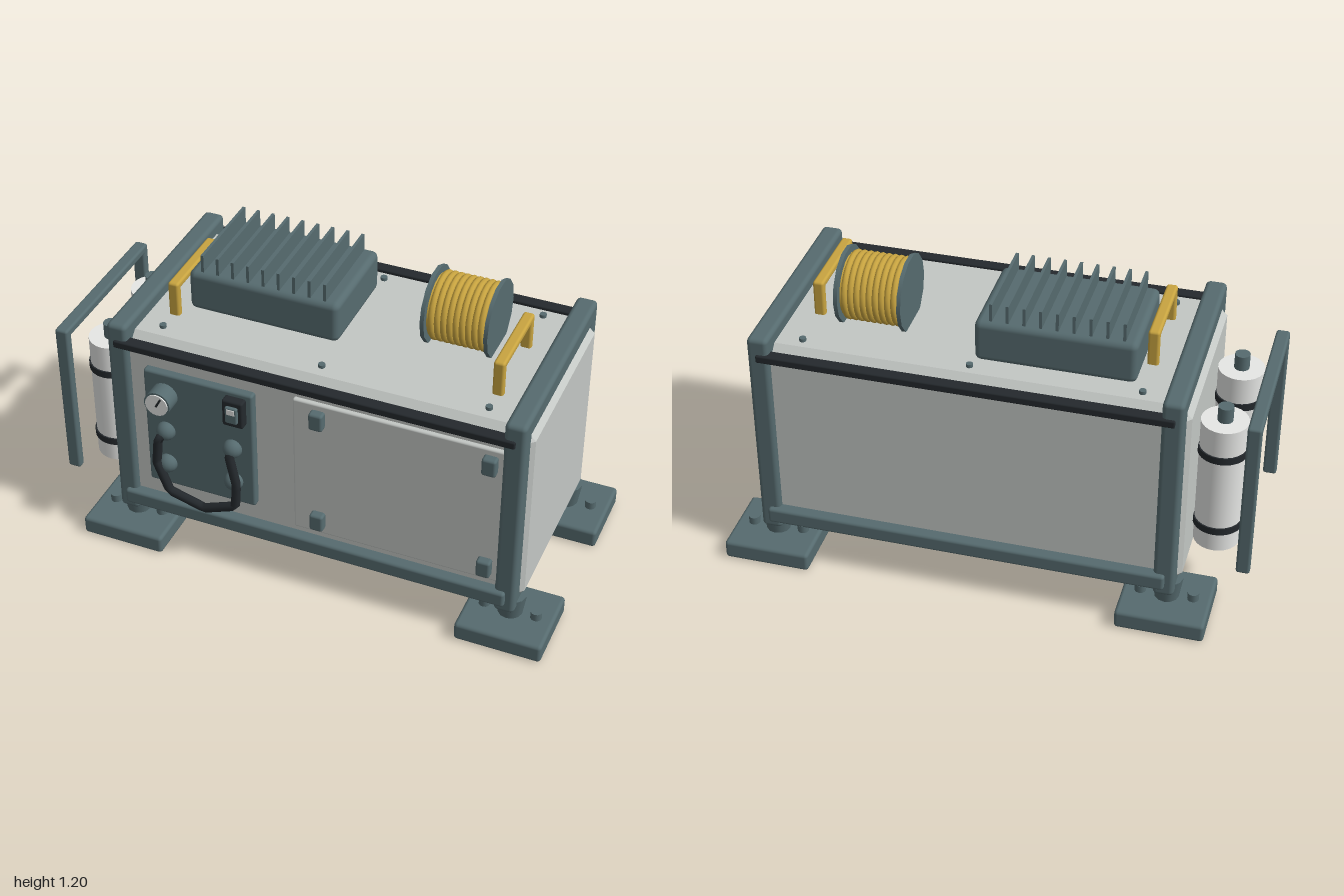
import * as THREE from 'three';
import { RoundedBoxGeometry } from 'three/addons/geometries/RoundedBoxGeometry.js';
import { ConvexGeometry } from 'three/addons/geometries/ConvexGeometry.js';

const material = (name, color) => Object.assign(new THREE.MeshStandardMaterial({ color }), { name });

export function createModel() {
  const teal = material('slate teal', 0x566b6f);
  const grey = material('shell grey', 0xc3c7c4);
  const black = material('rubber black', 0x24292d);
  const gold = material('gold', 0xc8a440);
  const white = material('tank white', 0xe6e7e5);

  const model = new THREE.Group();
  model.name = 'fieldPowerUnit';

  const add = (name, geometry, mat, x = 0, y = 0, z = 0, parent = model) => {
    const mesh = new THREE.Mesh(geometry, mat);
    mesh.name = name;
    mesh.position.set(x, y, z);
    parent.add(mesh);
    return mesh;
  };
  const group = (name) => {
    const g = new THREE.Group();
    g.name = name;
    model.add(g);
    return g;
  };
  // Soft-edged box given by its limits on each axis
  const block = (name, mat, [x0, x1], [y0, y1], [z0, z1], r = 0.012, parent = model) =>
    add(name, new RoundedBoxGeometry(x1 - x0, y1 - y0, z1 - z0, 2, r), mat,
      (x0 + x1) / 2, (y0 + y1) / 2, (z0 + z1) / 2, parent);
  // Box with 45 degree chamfers on all edges
  const chamferBox = (w, h, d, c) => {
    const points = [];
    for (const sx of [-1, 1]) for (const sy of [-1, 1]) for (const sz of [-1, 1]) {
      for (const k of [0, 1, 2]) {
        const size = [w, h, d].map((v, i) => v / 2 - (i === k ? 0 : c));
        points.push(new THREE.Vector3(sx * size[0], sy * size[1], sz * size[2]));
      }
    }
    return new ConvexGeometry(points);
  };
  const disc = (r, h, sides = 16) => new THREE.CylinderGeometry(r, r, h, sides);

  // Main shell
  add('bodyShell', chamferBox(1.637, 0.795, 0.79, 0.05), grey, 0.0615, 0.5425, -0.005);

  // Square end frames
  for (const x of [-0.7, 0.825]) {
    const frame = group('endFrame');
    const xs = [x - 0.04, x + 0.04];
    for (const z of [-0.384, 0.374])
      block('framePost', teal, xs, [0.13, 0.99], [z - 0.04, z + 0.04], 0.018, frame);
    for (const y of [0.17, 0.95])
      block('frameBar', teal, xs, [y - 0.04, y + 0.04], [-0.424, 0.414], 0.018, frame);
  }

  // Long side rails
  for (const s of [-1, 1]) {
    const z = s * 0.405 - 0.005;
    block('lowerRail', teal, [-0.705, 0.83], [0.168, 0.232], [z - 0.033, z + 0.033]);
    block('upperTrim', black, [-0.71, 0.83], [0.897, 0.927], [z - 0.024, z + 0.024], 0.006);
  }

  // Feet with stub legs and bolts
  for (const x of [-0.703, 0.83]) for (const z of [-0.345, 0.335]) {
    const foot = group('foot');
    block('footPad', teal, [x - 0.168, x + 0.168], [0, 0.075], [z - 0.15, z + 0.15], 0.014, foot);
    add('footLeg', new THREE.CylinderGeometry(0.06, 0.045, 0.1, 12), teal, x, 0.115, z, foot);
    for (const dx of [-0.1, 0.1])
      add('footBolt', disc(0.022, 0.035, 12), teal, x + dx, 0.0885, z, foot);
  }

  // Control panel
  block('controlPanel', teal, [-0.595, -0.157], [0.315, 0.83], [0.37, 0.42], 0.01);
  const gauge = group('gauge');
  gauge.position.set(-0.51, 0.737, 0.42);
  const turned = (name, r, h, mat, z) =>
    add(name, disc(r, h, 20), mat, 0, 0, z, gauge).rotation.x = Math.PI / 2;
  turned('gaugeBody', 0.052, 0.066, teal, 0.033);
  turned('gaugeFace', 0.045, 0.008, white, 0.067);
  add('gaugeNeedle', new THREE.BoxGeometry(0.008, 0.042, 0.006), black, 0.009, 0.014, 0.071, gauge)
    .rotation.z = -0.5;
  block('switchSurround', black, [-0.263, -0.181], [0.698, 0.812], [0.415, 0.455], 0.008);
  block('switchRocker', teal, [-0.246, -0.198], [0.722, 0.792], [0.44, 0.468], 0.006);
  block('switchPlate', white, [-0.238, -0.206], [0.762, 0.786], [0.464, 0.47], 0.002);

  // Cable sockets and the hanging cable
  for (const x of [-0.512, -0.24]) for (const y of [0.42, 0.573]) {
    const socket = add('socket', new THREE.SphereGeometry(0.038, 14, 10), teal, x, y, 0.425);
    socket.scale.z = 0.95;
  }
  const cablePoints = [
    [-0.512, 0.565, 0.44], [-0.53, 0.555, 0.456], [-0.542, 0.44, 0.456], [-0.495, 0.315, 0.456],
    [-0.35, 0.274, 0.456], [-0.222, 0.325, 0.456], [-0.215, 0.43, 0.456], [-0.24, 0.555, 0.456],
    [-0.24, 0.565, 0.44],
  ].map((p) => new THREE.Vector3(...p));
  const cablePath = new THREE.CurvePath();
  for (let i = 1; i < cablePoints.length; i++)
    cablePath.add(new THREE.LineCurve3(cablePoints[i - 1], cablePoints[i]));
  add('cable', new THREE.TubeGeometry(cablePath, 40, 0.018, 8), black);

  // Access door with latches
  block('accessDoor', grey, [-0.005, 0.838], [0.262, 0.86], [0.375, 0.407], 0.008);
  for (const x of [0.095, 0.745]) for (const y of [0.33, 0.8])
    block('doorLatch', teal, [x - 0.027, x + 0.027], [y - 0.036, y + 0.036], [0.4, 0.44], 0.01);

  // Roof bolts
  for (const x of [-0.57, 0.06, 0.69]) for (const z of [-0.31, 0.29])
    add('roofBolt', disc(0.013, 0.02, 10), teal, x, 0.943, z);

  // Cooling unit with fins
  block('coolerBox', teal, [-0.537, 0.058], [0.935, 1.1], [-0.264, 0.139], 0.025);
  for (let i = 0; i < 9; i++)
    add('coolerFin', new THREE.BoxGeometry(0.011, 0.09, 0.364), teal, -0.485 + i * 0.0606, 1.124, -0.061);

  // Cable reel
  const reel = group('cableReel');
  reel.position.set(0.472, 1.06, -0.075);
  reel.rotation.z = Math.PI / 2;
  add('reelDrum', disc(0.118, 0.24, 20), gold, 0, 0, 0, reel);
  for (const s of [-1, 1]) add('reelFlange', disc(0.146, 0.015, 14), teal, 0, s * 0.12, 0, reel);
  for (let i = 0; i < 9; i++)
    add('reelWinding', new THREE.TorusGeometry(0.119, 0.0125, 8, 24), gold, 0, (i - 4) * 0.0235, 0, reel)
      .rotation.x = Math.PI / 2;

  // Lifting handles
  for (const x of [-0.567, 0.69]) {
    const handle = group('liftHandle');
    const xs = [x - 0.021, x + 0.021];
    block('handleGrip', gold, xs, [1.05, 1.078], [-0.13, 0.206], 0.01, handle);
    for (const z of [-0.115, 0.191])
      block('handlePost', gold, xs, [0.93, 1.075], [z - 0.015, z + 0.015], 0.01, handle);
  }

  // Gas cylinders on the end
  for (const z of [-0.148, 0.197]) {
    const tank = group('gasCylinder');
    tank.position.set(-0.845, 0, z);
    add('tankBody', disc(0.088, 0.536, 24), white, 0, 0.497, 0, tank);
    add('tankValve', disc(0.029, 0.08, 14), teal, 0, 0.785, 0, tank);
    for (const y of [0.32, 0.643]) add('tankStrap', disc(0.094, 0.028, 24), black, 0, y, 0, tank);
  }

  // Guard rail around the cylinders
  const guard = group('guardRail');
  block('guardTop', teal, [-0.997, -0.945], [0.818, 0.853], [-0.306, 0.354], 0.01, guard);
  for (const z of [-0.288, 0.336])
    block('guardPost', teal, [-0.997, -0.945], [0.2, 0.85], [z - 0.018, z + 0.018], 0.01, guard);

  return model;
}
